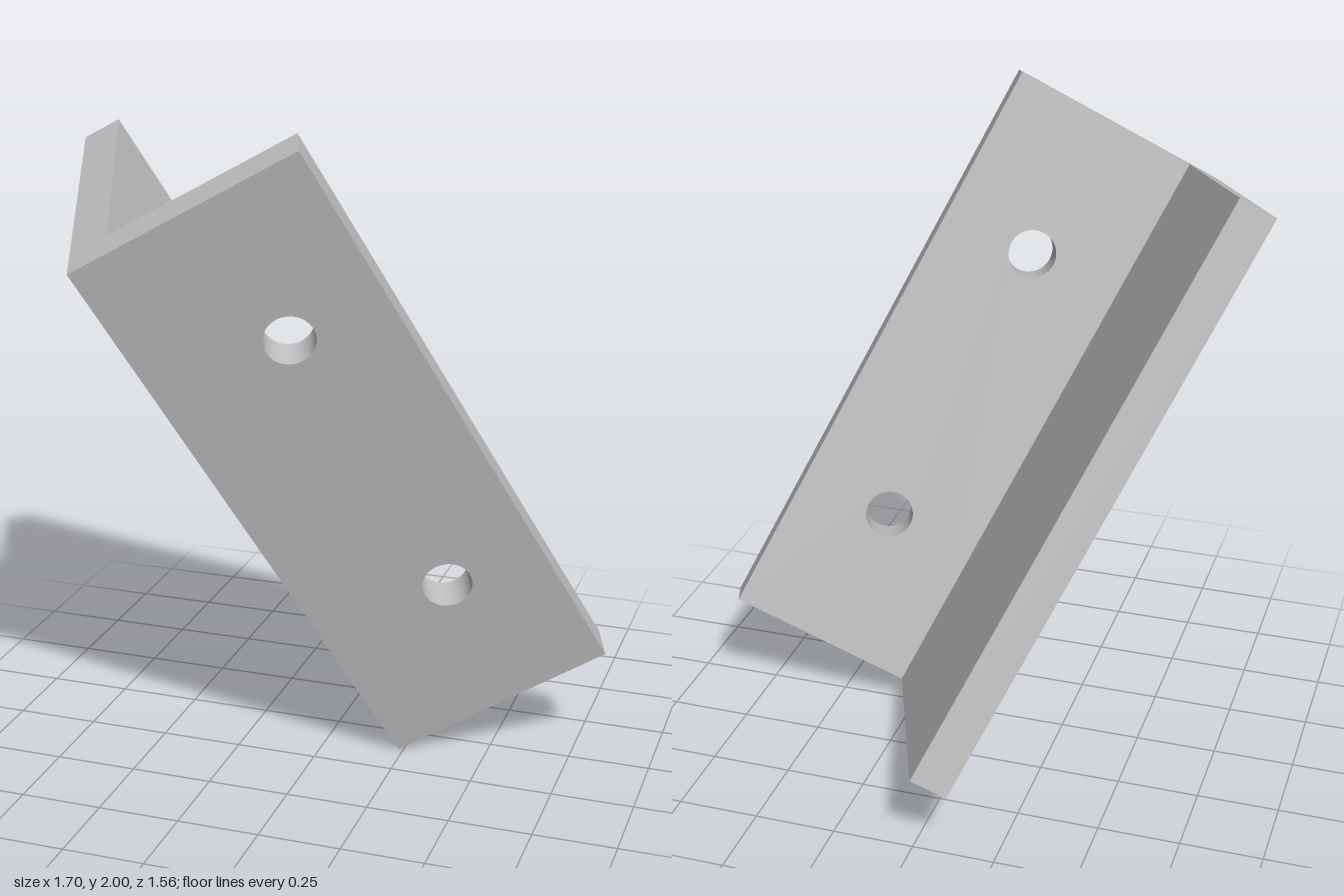
import * as THREE from 'three';

// Angle bracket: local x runs across the drilled flange, y along the bracket, z out of its face
const LENGTH = 1.912, DRILLED = 0.717, PLAIN = 0.956, THICK = 0.1195;
const HOLE_RADIUS = 0.075, HOLE_SPACING = 0.956;

export function createModel() {
  const steel = new THREE.MeshStandardMaterial({ color: 0xbfbfbf });
  steel.name = 'steel grey';

  // Flange with two round through holes, centred on its free width
  const outline = new THREE.Shape([
    new THREE.Vector2(0, 0), new THREE.Vector2(DRILLED, 0),
    new THREE.Vector2(DRILLED, LENGTH), new THREE.Vector2(0, LENGTH),
  ]);
  for (const side of [-1, 1]) {
    const hole = new THREE.Path();
    hole.absarc((DRILLED + THICK) / 2, (LENGTH + side * HOLE_SPACING) / 2, HOLE_RADIUS, 0, Math.PI * 2, true);
    outline.holes.push(hole);
  }
  const drilledFlange = new THREE.Mesh(
    new THREE.ExtrudeGeometry(outline, { depth: THICK, bevelEnabled: false, curveSegments: 64 }), steel);
  drilledFlange.name = 'drilledFlange';
  drilledFlange.position.z = -THICK;

  // Plain flange standing behind it along one long edge
  const plainFlange = new THREE.Mesh(new THREE.BoxGeometry(THICK, LENGTH, PLAIN - THICK), steel);
  plainFlange.name = 'plainFlange';
  plainFlange.position.set(THICK / 2, LENGTH / 2, -(PLAIN + THICK) / 2);

  // Tilt the bracket so that it balances on its outer corner
  const bracket = new THREE.Group();
  bracket.name = 'angleBracket';
  bracket.add(drilledFlange, plainFlange);
  const along = new THREE.Vector3(-0.75, 1.63, 0.66).normalize();
  const out = new THREE.Vector3(0.61, 0.35, -0.16).cross(along).normalize();
  const across = new THREE.Vector3().crossVectors(along, out);
  bracket.quaternion.setFromRotationMatrix(new THREE.Matrix4().makeBasis(across, along, out));
  bracket.position.set(0.235, 0, 0.12);

  const model = new THREE.Group();
  model.name = 'bracketModel';
  model.add(bracket);
  return model;
}
